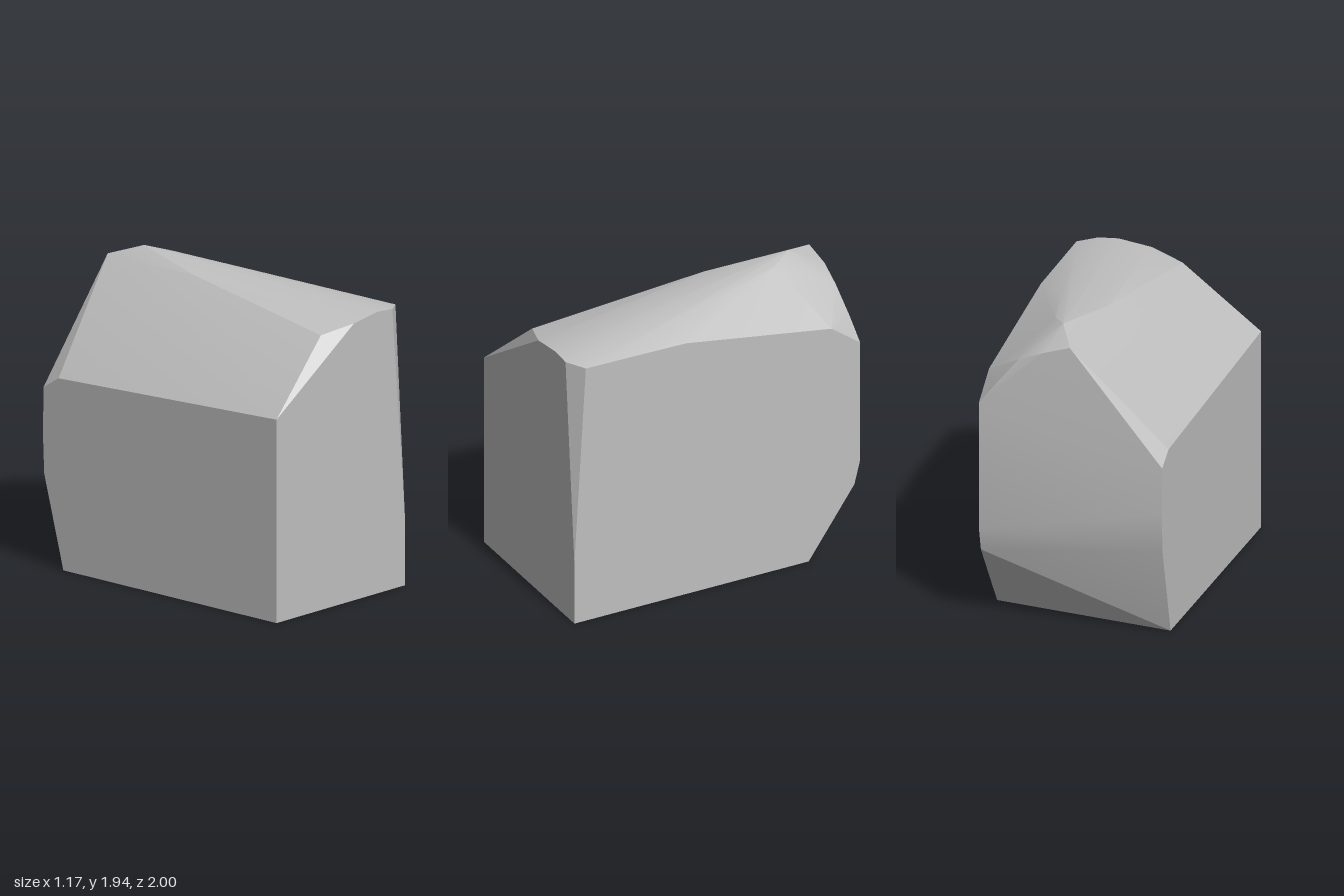
import * as THREE from 'three';
import { ConvexGeometry } from 'three/addons/geometries/ConvexGeometry.js';
import { toCreasedNormals } from 'three/addons/utils/BufferGeometryUtils.js';

const W = 0.585; // half width between the two flat sides

export function createModel() {
  const group = new THREE.Group();
  group.name = 'rock';
  const stone = new THREE.MeshStandardMaterial({ color: 0xbfbfbf });
  stone.name = 'stone grey';

  const corners = [
    // base, with the rear edge cut at a slant
    [-W, 0, 1], [W, 0, 1], [W, 0, -0.64], [-W, 0, -0.78],
    // front face outline and its chipped corners
    [-W, 1.3, 1], [0.12, 1.77, 1], [0.34, 1.8, 1], [0.47, 1.79, 1],
    [W, 0.42, 1], [W, 1.78, 0.92], [-0.1, 1.725, 0.925],
    // upper edge of the left side
    [W, 1.77, 0.22], [W, 1.6, -0.8],
    // crest and rounded shoulder
    [0, 1.87, -0.22], [0.12, 1.94, -0.75], [0.22, 1.91, -0.6], [0.34, 1.868, -0.1],
    // upper rim of the back
    [0.01, 1.87, -0.955], [0.18, 1.82, -0.97], [0.34, 1.755, -0.96], [0.475, 1.59, -0.985],
    [W, 1.45, -1], [-W, 1.22, -0.82], [-W, 1.14, -0.945],
    // lower rim of the back
    [W, 0.62, -1], [W, 0.46, -0.96], [-W, 0.84, -0.95], [-W, 0.59, -0.94],
  ].map((p) => new THREE.Vector3(...p));

  // worn edges shade softly, broken edges stay sharp
  const geometry = toCreasedNormals(new ConvexGeometry(corners), 0.35);
  const body = new THREE.Mesh(geometry, stone);
  body.name = 'rockBody';
  group.add(body);
  return group;
}
